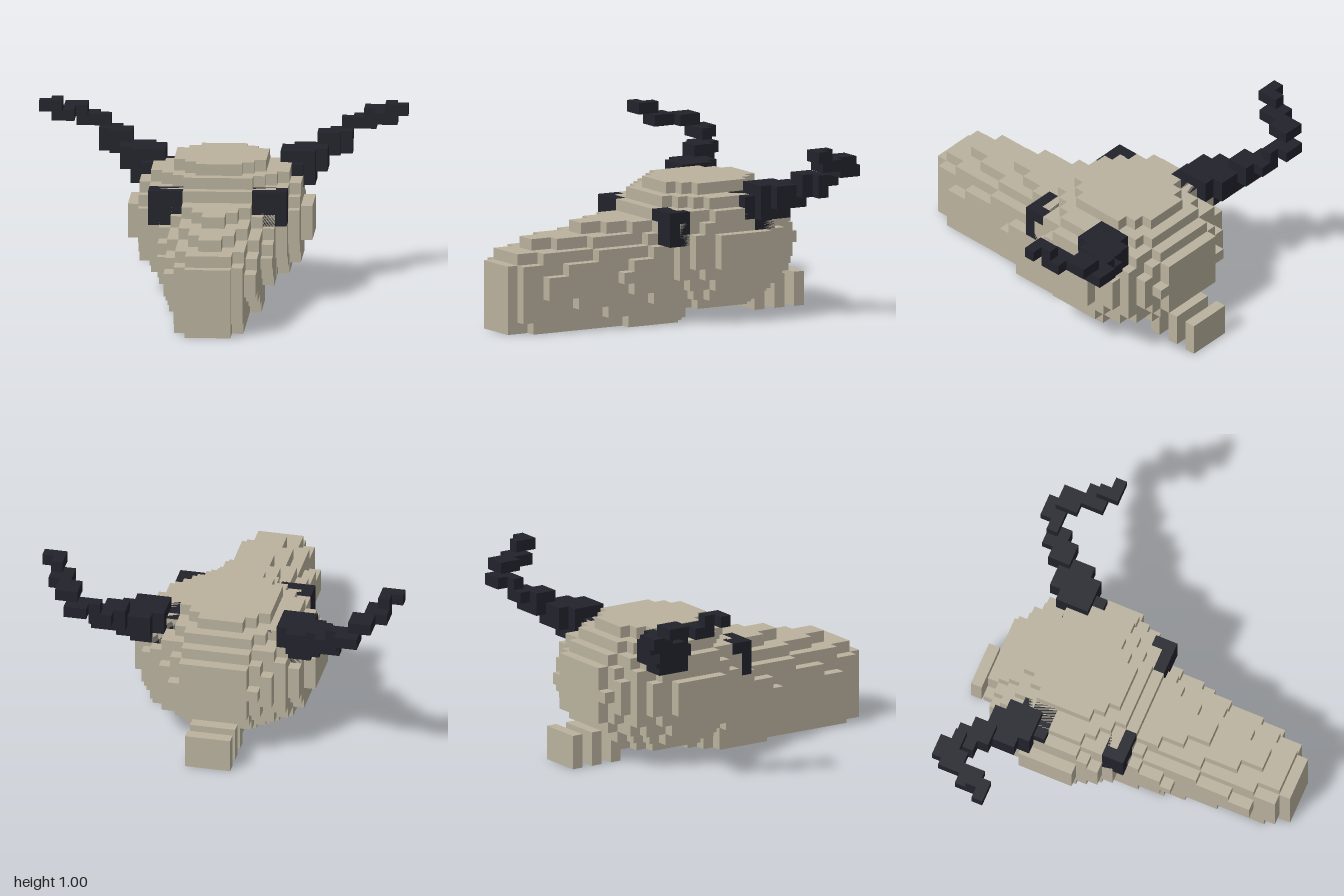
import * as THREE from 'three';
import { mergeGeometries } from 'three/addons/utils/BufferGeometryUtils.js';

const U = 1 / 16; // size of one block

// Box from block coordinates [x0, x1, y0, y1, z0, z1]
function block([x0, x1, y0, y1, z0, z1]) {
  return new THREE.BoxGeometry((x1 - x0) * U, (y1 - y0) * U, (z1 - z0) * U)
    .translate((x0 + x1) / 2 * U, (y0 + y1) / 2 * U, (z0 + z1) / 2 * U);
}

// Symmetric block solid: halfWidth(y, z) gives the half width of each row;
// equal neighbouring rows become one box
function rows(yMin, yMax, zMin, zMax, halfWidth) {
  const boxes = [];
  for (let y = yMin; y < yMax; y++) {
    let start = zMin;
    for (let z = zMin; z < zMax; z++) {
      const w = halfWidth(y, z);
      if (z + 1 < zMax && halfWidth(y, z + 1) === w) continue;
      if (w > 0) boxes.push(block([-w, w, y, y + 1, start, z + 1]));
      start = z + 1;
    }
  }
  return mergeGeometries(boxes);
}

export function createModel() {
  const group = new THREE.Group();
  const bone = new THREE.MeshStandardMaterial({ color: 0xbab29e });
  bone.name = 'bone';
  const dark = new THREE.MeshStandardMaterial({ color: 0x22222c });
  dark.name = 'dark horn';

  const add = (name, geometry, material) => {
    const mesh = new THREE.Mesh(geometry, material);
    mesh.name = name;
    group.add(mesh);
  };

  // Rounded cranium: a stepped ellipsoid
  add('cranium', rows(1, 12, -13, 2, (y, z) => {
    const dy = (y + 0.5 - 6.5) / 6, dz = (z + 0.5 + 5.5) / 7.9;
    const s = 1 - dy * dy - dz * dz;
    return s > 0 ? Math.floor(7.9 * Math.sqrt(s) + 0.5) : 0;
  }), bone);

  // Tapering snout: per layer, how far forward each half width 1..5 reaches
  const reach = [
    [15, 15, 13, 4],
    [15, 15, 14, 6],
    [15, 15, 14, 9, 2],
    [15, 15, 14, 12, 4],
    [15, 15, 14, 12, 5],
    [15, 15, 14, 10, 4],
    [14, 14, 12, 7, 2],
    [12, 10, 7, 2],
    [7, 5, 3],
  ];
  const backLimit = [-3, -3, -2, -1, -1]; // the rear end is stepped too
  add('snout', rows(0, 9, -3, 15, (y, z) => {
    let w = 0;
    reach[y].forEach((front, i) => { if (z < front && z >= backLimit[i]) w = i + 1; });
    return w;
  }), bone);

  // Three upright plates under and behind the cranium
  for (const z of [-11, -13, -15]) {
    add('neckPlate', block([-2, 2, 0, 3, z, z + 1]), bone);
  }

  // Horn sweeping out, back, up and forward again
  const hornBlocks = [
    [5, 7, 8, 9, -9, -7],
    [4, 7, 9, 11, -9, -6],
    [5, 8, 9, 12, -10, -7],
    [6, 9, 10, 12, -11, -8],
    [8, 10, 11, 13, -12, -10],
    [9, 11, 11, 13, -12, -11],
    [9, 11, 12, 13, -13, -11],
    [10, 12, 13, 14, -13, -12],
    [11, 13, 13, 14, -14, -12],
    [12, 14, 14, 15, -13, -11],
    [13, 15, 14, 15, -11, -9],
    [14, 15, 15, 16, -10, -8],
    [14, 16, 15, 16, -9, -8],
  ];
  const mirror = ([x0, x1, ...rest]) => [-x1, -x0, ...rest];
  const eye = [3, 6, 7, 10, -1, 1];
  for (const [side, place] of [['left', (b) => b], ['right', mirror]]) {
    add(side + 'Horn', mergeGeometries(hornBlocks.map((b) => block(place(b)))), dark);
    add(side + 'Eye', block(place(eye)), dark);
  }
  return group;
}
